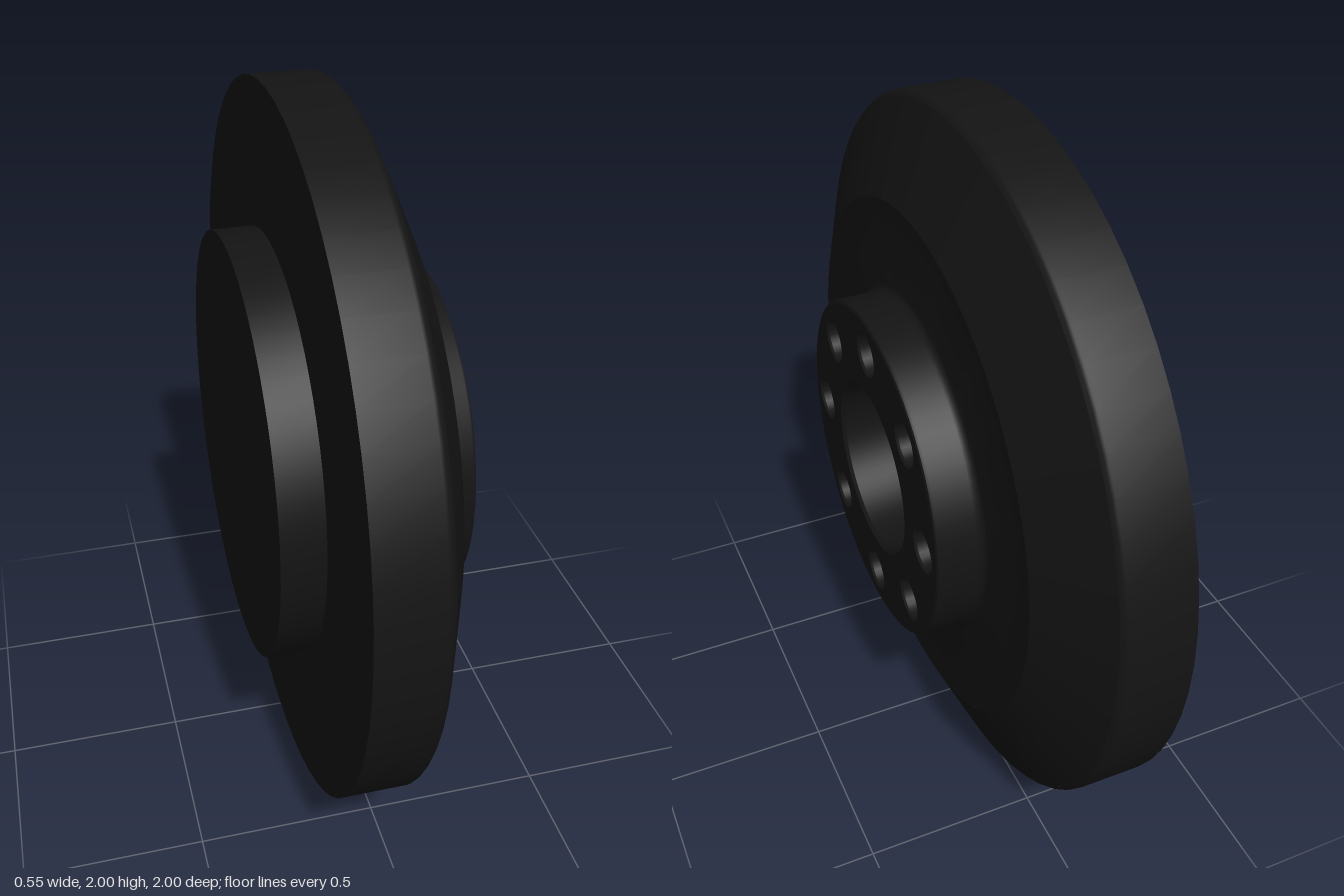
import * as THREE from 'three';
import { toCreasedNormals } from 'three/addons/utils/BufferGeometryUtils.js';

const SEGMENTS = 64;
const TAU = Math.PI * 2;

export function createModel() {
  const model = new THREE.Group();
  model.name = 'flywheel';
  const black = new THREE.MeshStandardMaterial({ color: 0x141414 });
  const blackThin = new THREE.MeshStandardMaterial({ color: 0x141414, side: THREE.DoubleSide });

  // Everything is turned around y, then the wheel is tipped so y points to +x.
  const wheel = new THREE.Group();
  wheel.name = 'wheel';
  wheel.rotation.z = -Math.PI / 2;
  wheel.position.y = 1;
  model.add(wheel);

  function add(name, geometry, material = black) {
    const mesh = new THREE.Mesh(geometry, material);
    mesh.name = name;
    wheel.add(mesh);
    return mesh;
  }

  // profile: [radius, distance along the axle]
  function turned(name, profile, segments = SEGMENTS, start = 0, length = TAU) {
    const points = profile.map(([r, y]) => new THREE.Vector2(r, y));
    return add(name, toCreasedNormals(new THREE.LatheGeometry(points, segments, start, length), 0.5));
  }

  const circle = (radius, count, cx = 0, cy = 0) =>
    Array.from({ length: count }, (_, i) => {
      const a = (i / count) * TAU;
      return new THREE.Vector2(cx + radius * Math.cos(a), cy + radius * Math.sin(a));
    });

  // Stepped back boss and outer rim
  turned('backAndRim', [
    [0, -0.275], [0.6, -0.275], [0.6, -0.157], [1, -0.157],
    [1, 0.015], [0.998, 0.024], [0.993, 0.031], [0.985, 0.038],
  ]);

  // Sloped face, left open where the timing groove lies
  const outer = [0.985, 0.038];
  const inner = [0.74, 0.145];
  const halfGap = 0.006;
  turned('slopedFace', [outer, inner], SEGMENTS, Math.PI / 2 + halfGap, TAU - 2 * halfGap);

  // V-shaped timing groove at the bottom of the slope
  const section = ([r, y]) => [
    [r * Math.cos(halfGap), y, r * Math.sin(halfGap)],
    [r - 0.009, y - 0.02, 0],
    [r * Math.cos(halfGap), y, -r * Math.sin(halfGap)],
  ];
  const groove = new THREE.BufferGeometry();
  groove.setAttribute('position',
    new THREE.Float32BufferAttribute([...section(outer), ...section(inner)].flat(), 3));
  groove.setIndex([0, 1, 4, 0, 4, 3, 1, 2, 5, 1, 5, 4, 0, 2, 1, 3, 4, 5]);
  add('timingGroove', toCreasedNormals(groove, 0.3), blackThin);

  // Flat front face, fillet and hub wall
  turned('hub', [
    inner, [0.5, 0.145], [0.492, 0.147], [0.485, 0.153], [0.48, 0.165],
    [0.48, 0.265], [0.477, 0.272], [0.47, 0.275],
  ]);

  // Hub face pierced by the bore and the bolt holes
  const boltCount = 8;
  const boltCentres = circle(0.378, boltCount);
  const face = new THREE.Shape(circle(0.47, SEGMENTS));
  face.holes.push(new THREE.Path(circle(0.252, SEGMENTS)));
  for (const c of boltCentres) face.holes.push(new THREE.Path(circle(0.064, 24, c.x, c.y)));
  add('hubFace', new THREE.ShapeGeometry(face).rotateX(-Math.PI / 2));
  wheel.getObjectByName('hubFace').position.y = 0.275;

  // Blind centre bore with a small chamfer
  turned('centreBore', [[0.252, 0.275], [0.243, 0.266], [0.243, 0.135], [0, 0.135]]);

  // Blind bolt holes with drilled, conical ends
  boltCentres.forEach((c, i) => {
    const hole = turned(`boltHole${i + 1}`,
      [[0.064, 0.275], [0.059, 0.269], [0.059, 0.17], [0, 0.14]], 24);
    hole.position.set(c.x, 0, c.y);
  });

  return model;
}
